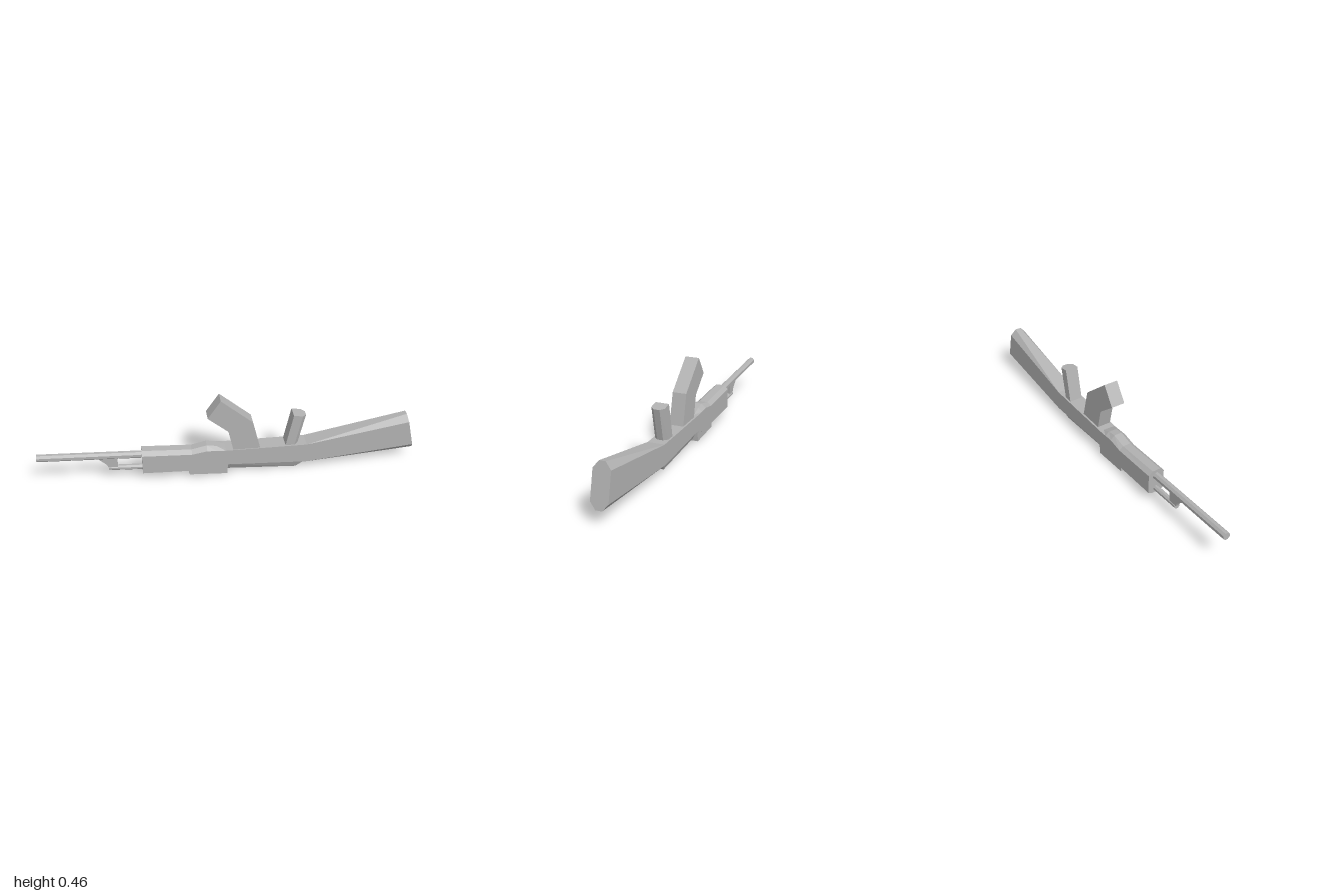
import * as THREE from 'three';

// Eight-cornered, left-right symmetric cross-section. xt and xb are x at the top and
// bottom, so a section can lean; y runs top, upper shoulder, lower shoulder, bottom.
function section(xt, xb, [yt, yu, yl, yb], [wt, w, wb]) {
  const p = (y, z) => new THREE.Vector3(xb + (xt - xb) * (y - yb) / (yt - yb), y, z);
  return [p(yt, -wt), p(yt, wt), p(yu, w), p(yl, w), p(yb, wb), p(yb, -wb), p(yl, -w), p(yu, -w)];
}

// Capped, faceted skin through rings ordered from -x to +x
function loft(rings) {
  const pos = [];
  const tri = (...v) => v.forEach(q => pos.push(q.x, q.y, q.z));
  for (let r = 0; r < rings.length - 1; r++) {
    const a = rings[r], b = rings[r + 1];
    a.forEach((_, i) => {
      const j = (i + 1) % a.length;
      tri(a[i], a[j], b[j]);
      tri(a[i], b[j], b[i]);
    });
  }
  const first = rings[0], last = rings[rings.length - 1];
  for (let i = 1; i < first.length - 1; i++) {
    tri(first[0], first[i + 1], first[i]);
    tri(last[0], last[i], last[i + 1]);
  }
  const g = new THREE.BufferGeometry();
  g.setAttribute('position', new THREE.Float32BufferAttribute(pos, 3));
  g.computeVertexNormals();
  return g;
}

// Side outline extruded through z
function plate(points, z0, z1) {
  const shape = new THREE.Shape(points.map(([x, y]) => new THREE.Vector2(x, y)));
  return new THREE.ExtrudeGeometry(shape, { depth: z1 - z0, bevelEnabled: false }).translate(0, 0, z0);
}

// Straight low-sided rod between two points in the xy plane
function rod(x0, y0, x1, y1, radius, sides) {
  const dx = x1 - x0, dy = y1 - y0;
  return new THREE.CylinderGeometry(radius, radius, Math.hypot(dx, dy), sides)
    .rotateY(Math.PI / sides)
    .rotateZ(Math.atan2(dy, dx) - Math.PI / 2)
    .translate((x0 + x1) / 2, (y0 + y1) / 2, 0);
}

export function createModel() {
  const group = new THREE.Group();
  const grey = new THREE.MeshStandardMaterial({ color: 0xb2b2b2, flatShading: true });
  grey.name = 'plain grey';
  const add = (name, geometry) => {
    const mesh = new THREE.Mesh(geometry, grey);
    mesh.name = name;
    group.add(mesh);
  };

  // Handguard with chamfered edges, running into the raised hump
  const W = [0.022, 0.045, 0.025];
  add('handguard', loft([
    section(-0.46, -0.46, [0.185, 0.165, 0.058, 0.046], W),
    section(-0.2, -0.2, [0.17, 0.152, 0.048, 0.034], W),
    section(-0.12, -0.12, [0.188, 0.166, 0.048, 0.034], W),
    section(-0.07, -0.07, [0.18, 0.163, 0.048, 0.034], W),
    section(-0.02, -0.02, [0.16, 0.158, 0.06, 0.05], W),
  ]));

  // Square-edged receiver and the buttstock that flares from it
  const square = [0.045, 0.045, 0.045];
  add('receiver', loft([
    section(-0.035, -0.035, [0.16, 0.16, 0.072, 0.072], square),
    section(0.41, 0.41, [0.158, 0.158, 0.048, 0.048], square),
  ]));
  add('buttstock', loft([
    section(0.41, 0.41, [0.158, 0.158, 0.048, 0.048], square),
    section(0.95, 1.0, [0.285, 0.25, 0.104, 0.07], [0.016, 0.045, 0.016]),
  ]));

  // Deep block and tapered cover on the underside
  add('lowerBlock', plate([[-0.215, 0.025], [-0.015, 0.013], [-0.01, 0.09], [-0.21, 0.09]], -0.044, 0.045));
  add('lowerCover', loft([
    section(-0.012, -0.012, [0.08, 0.07, 0.065, 0.025], [0.036, 0.036, 0.015]),
    section(0.41, 0.36, [0.052, 0.048, 0.044, 0.001], [0.032, 0.032, 0.015]),
  ]));

  // Bent magazine
  add('magazine', plate([
    [0.02, 0.15], [0.163, 0.15], [0.12, 0.322], [-0.047, 0.465], [-0.115, 0.365], [-0.008, 0.275],
  ], -0.035, 0.04));

  // Leaning hand grip with a chamfered +x side
  const outline = [[-0.033, -0.036], [0.015, -0.036], [0.035, -0.016], [0.035, 0.016], [0.015, 0.036], [-0.033, 0.036]];
  const grip = new THREE.ExtrudeGeometry(
    new THREE.Shape(outline.map(([x, z]) => new THREE.Vector2(x, z))),
    { depth: 0.19, bevelEnabled: false },
  ).rotateX(-Math.PI / 2);
  const gp = grip.attributes.position;
  for (let i = 0; i < gp.count; i++) {
    const x = gp.getX(i), t = gp.getY(i) / 0.19;
    gp.setXYZ(i, 0.328 + x + 0.04 * t, 0.15 + t * (0.185 - 0.17 * x), gp.getZ(i));
  }
  grip.computeVertexNormals();
  add('grip', grip);

  // Barrel, lower rod and the post joining them
  add('barrel', rod(-0.999, 0.176, -0.45, 0.15, 0.02, 8));
  add('lowerRod', rod(-0.635, 0.081, -0.45, 0.071, 0.015, 8));
  add('sightPost', plate([
    [-0.635, 0.085], [-0.588, 0.082], [-0.586, 0.145], [-0.685, 0.15], [-0.68, 0.14], [-0.645, 0.108],
  ], -0.011, 0.011));

  return group;
}
